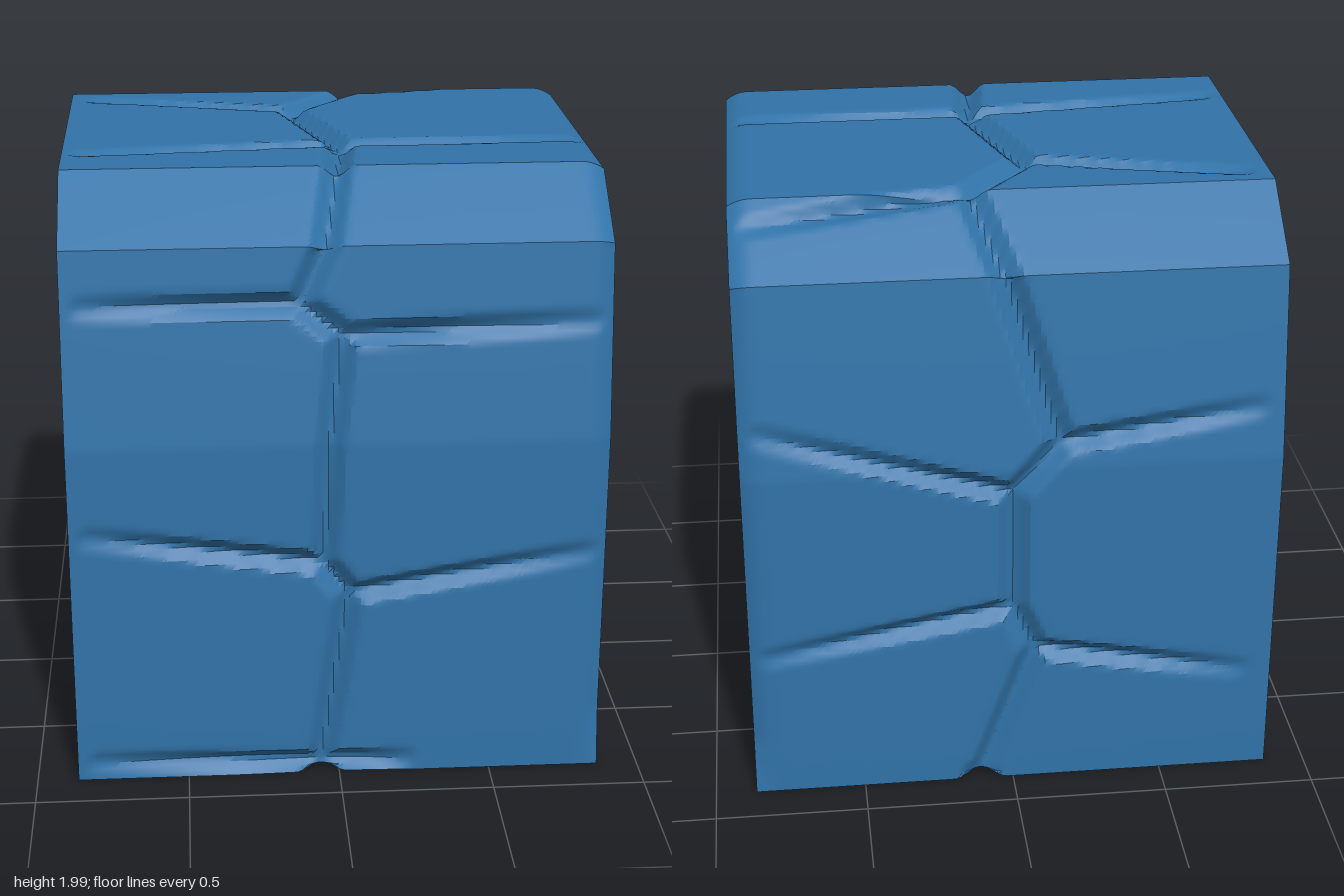
import * as THREE from 'three';
import { mergeVertices, toCreasedNormals } from 'three/addons/utils/BufferGeometryUtils.js';

const HALF = 0.865;      // half length along x
const TOP = 1.99;
const DEPTH = 0.042;     // depth of the cracks
const V = (x, y, z) => new THREE.Vector3(x, y, z);

// Half of the cross-section as [z, y], from the foot to the edge of the top
const profile = [[0.868, 0], [0.862, 1.17], [0.78, 1.8], [0.53, TOP]];

// Half width at height y, and height at depth z
const zAt = (y) => {
  const k = y < 1.17 ? 0 : y < 1.8 ? 1 : 2;
  const [z0, y0] = profile[k], [z1, y1] = profile[k + 1];
  return z0 + (z1 - z0) * (y - y0) / (y1 - y0);
};
const yAt = (z) => TOP - 0.76 * Math.max(0, Math.abs(z) - 0.53);

// Closed cross-section, evenly divided, with outward normals
function makeRing() {
  const corners = [...profile, ...profile.map(([z, y]) => [-z, y]).reverse()].map(([z, y]) => V(0, y, z));
  const pts = [];
  corners.forEach((c, k) => {
    const next = corners[(k + 1) % corners.length];
    const spacing = k === corners.length - 1 ? 0.08 : 0.0177;
    const n = Math.ceil(c.distanceTo(next) / spacing);
    for (let i = 0; i < n; i++) pts.push(c.clone().lerp(next, i / n));
  });
  return pts.map((p, i) => {
    const a = pts[(i + pts.length - 1) % pts.length], b = pts[(i + 1) % pts.length];
    return { p, n: V(0, a.z - b.z, b.y - a.y).normalize() };
  });
}

// One face: a crooked trunk, and branches given as [trunk point, reach, height at the end].
// Branches get shallower towards their ends.
function crackFace(place, trunk, branches, width, trunkEnd, branchEnd) {
  const at = (i) => place(...trunk[i]);
  const last = trunk.length - 1;
  const trunkDepth = (i) => DEPTH * (i % last === 0 ? trunkEnd : 1);
  return [
    ...trunk.slice(1).map((_, i) => ({
      line: new THREE.Line3(at(i), at(i + 1)), d0: trunkDepth(i), d1: trunkDepth(i + 1), width,
    })),
    ...branches.map(([i, reach, end]) => ({
      line: new THREE.Line3(at(i), place(reach, end)), d0: DEPTH, d1: DEPTH * branchEnd, width: 0.05,
    })),
  ];
}

// Depth of the deepest crack at a point
const near = V(0, 0, 0);
function crackDepth(p, cracks) {
  let best = 0;
  for (const { line, d0, d1, width } of cracks) {
    const t = line.closestPointToPointParameter(p, true);
    const r = line.at(t, near).distanceTo(p) / width;
    if (r < 1) best = Math.max(best, (d0 + (d1 - d0) * t * t) * (1 - r * r * (3 - 2 * r)));
  }
  return best;
}

const wrapCracks = () => [
  // front
  ...crackFace((x, y) => V(x, y, zAt(y)),
    [[-0.04, 1.8], [-0.12, 1.62], [0.01, 1.52], [-0.03, 1.17], [-0.05, 0.76], [0.03, 0.65], [-0.06, 0.04]],
    [[1, -0.8, 1.62], [2, 0.8, 1.55], [4, -0.8, 0.87], [5, 0.8, 0.78], [6, -0.8, 0.06], [6, 0.22, 0.04]],
    0.06, 1, 0.3),
  // back
  ...crackFace((x, y) => V(x, y, -zAt(y)),
    [[0.02, 1.8], [-0.15, 1.25], [0, 1.08], [0, 0.66], [-0.07, 0.5], [0.11, 0]],
    [[1, -0.78, 1.34], [2, 0.8, 1.32], [3, 0.8, 0.52], [4, -0.75, 0.38]],
    0.06, 1, 0.3),
  // top and its bevels
  ...crackFace((x, z) => V(x, yAt(z), z),
    [[-0.04, 0.78], [0.01, 0.53], [0.04, 0.23], [-0.1, -0.26], [0.11, -0.52], [0.02, -0.78]],
    [[2, -0.8, 0.32], [2, 0.8, 0.22], [3, -0.78, -0.44], [4, 0.8, -0.61]],
    0.06, 1, 0.3),
  // underside
  ...crackFace((x, z) => V(x, 0, z), [[-0.06, 0.86], [0.11, -0.86]], [], 0.09, 1, 1),
];

// The two ends carry the same cracks, a half turn apart
const endCracks = (side) => crackFace((z, y) => V(side * HALF, y, side * z),
  [[0.01, 1.78], [0.01, 1.25], [0.07, 1.17], [0.03, 0.54], [0.08, 0.46], [0.06, 0.15]],
  [[1, -0.7, 1.26], [2, 0.72, 1.32], [3, -0.72, 0.71], [4, 0.72, 0.57]],
  0.055, 0, 0);

// Grid of points, closed in the second direction
function gridGeometry(rows, cols, point) {
  const pos = [], index = [];
  for (let i = 0; i <= rows; i++) for (let j = 0; j < cols; j++) pos.push(...point(i, j).toArray());
  for (let i = 0; i < rows; i++) {
    for (let j = 0; j < cols; j++) {
      const k = (j + 1) % cols, a = i * cols, b = a + cols;
      index.push(a + j, b + j, b + k, a + j, b + k, a + k);
    }
  }
  const g = new THREE.BufferGeometry();
  g.setAttribute('position', new THREE.Float32BufferAttribute(pos, 3));
  g.setIndex(index);
  return toCreasedNormals(mergeVertices(g, 1e-5), 0.5);
}

export function createModel() {
  const group = new THREE.Group();
  group.name = 'crackedBlock';
  const stone = new THREE.MeshStandardMaterial({ color: 0x3173a8 });
  stone.name = 'blueStone';
  const ring = makeRing();
  const add = (name, geometry) => {
    const mesh = new THREE.Mesh(geometry, stone);
    mesh.name = name;
    group.add(mesh);
  };

  // Front, top, back and underside in one sheet, with a worn edge at +x
  const cracks = wrapCracks();
  const sheetPoint = (x, j) => {
    const { p, n } = ring[j];
    const q = V(x, p.y, p.z);
    const worn = Math.max(0, (x - 0.79) / (HALF - 0.79));
    const inset = 0.028 * worn * worn * Math.min(1, p.y / 0.2);
    return q.addScaledVector(n, -inset - crackDepth(q, cracks));
  };
  const XN = 100;
  add('stoneWrap', gridGeometry(XN, ring.length, (i, j) => sheetPoint(-HALF + 2 * HALF * i / XN, j)));

  // End faces, built from shrinking copies of the sheet's rim
  const RN = 46;
  for (const side of [1, -1]) {
    const sideCracks = endCracks(side);
    const rim = ring.map((_, j) => sheetPoint(side * HALF, j));
    const centre = V(side * HALF, 0.9, 0);
    add(side > 0 ? 'leftEnd' : 'rightEnd', gridGeometry(RN, ring.length, (i, j) => {
      const q = centre.clone().lerp(rim[j], side > 0 ? 1 - i / RN : i / RN);
      q.x -= side * crackDepth(q, sideCracks);
      return q;
    }));
  }
  return group;
}
